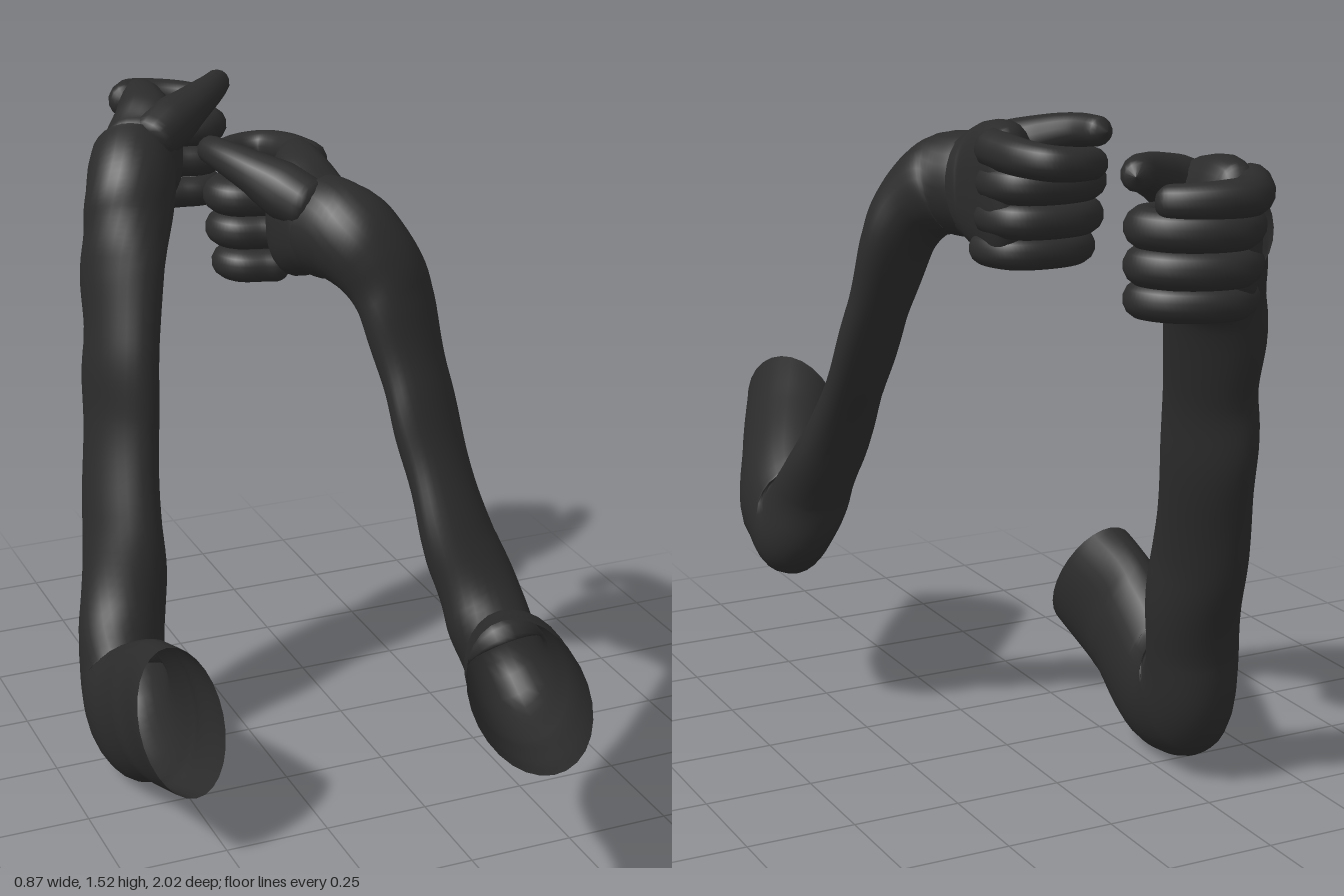
import * as THREE from 'three';

const V = (x, y, z) => new THREE.Vector3(x, y, z);
const black = new THREE.MeshStandardMaterial({ color: 0x2b2b2b, side: THREE.DoubleSide });
black.name = 'black cloth';

// Smooth sweep through rows [x, y, z, radiusUp, radiusSide, twist].
// refA/refB: side direction at start/end; cap: rounded end radius; wrinkle: fold depth;
// skew: slant of the first opening [across, up]; power: below 1 gives a boxier section.
function sweep(name, rows, { refA, refB = refA, cap = 0, wrinkle = 0, skew = [0, 0], power = 1, sides = 20, steps = 8 }) {
  const path = new THREE.CatmullRomCurve3(rows.map(r => V(r[0], r[1], r[2])));
  const section = new THREE.CatmullRomCurve3(rows.map(r => V(r[3], r[4], r[5] ?? 0)));
  const n = (rows.length - 1) * steps, pos = [], index = [];
  const first = path.getPoint(0), last = path.getPoint(1);
  const bend = v => Math.sign(v) * Math.abs(v) ** power;
  for (let i = 0; i <= n; i++) {
    const t = i / n, c = path.getPoint(t), T = path.getTangent(t), r = section.getPoint(t);
    const side = refA.clone().lerp(refB, t);
    side.addScaledVector(T, -side.dot(T)).normalize();
    const up = side.clone().cross(T);
    let k = 1;
    if (cap) {
      const d = Math.min(1, Math.min(c.distanceTo(first), c.distanceTo(last)) / cap);
      k = Math.sqrt(1 - (1 - d) ** 2);
    }
    const slant = Math.max(0, 1 - 6 * t), ct = Math.cos(r.z), st = Math.sin(r.z);
    for (let j = 0; j < sides; j++) {
      const a = j / sides * Math.PI * 2, ca = bend(Math.cos(a)), sa = bend(Math.sin(a));
      const fold = k * (1 + wrinkle * Math.sin(t * 46 + 1.5 * Math.sin(a + t * 5)) * Math.sin(t * Math.PI));
      const s = ca * r.y * fold, u = sa * r.x * fold;
      const p = c.clone()
        .addScaledVector(side, s * ct - u * st)
        .addScaledVector(up, s * st + u * ct)
        .addScaledVector(T, slant * (skew[1] * sa - skew[0] * ca));
      pos.push(p.x, p.y, p.z);
      if (i < n) {
        const b = i * sides + (j + 1) % sides, a0 = i * sides + j;
        index.push(a0, a0 + sides, b, b, a0 + sides, b + sides);
      }
    }
  }
  const g = new THREE.BufferGeometry();
  g.setAttribute('position', new THREE.Float32BufferAttribute(pos, 3));
  g.setIndex(index);
  g.computeVertexNormals();
  const mesh = new THREE.Mesh(g, black);
  mesh.name = name;
  return mesh;
}

// Hand built in (palmward, up, forward) coordinates around the wrist.
function hand(name, wrist, palmDir, forward, indexPath) {
  const group = new THREE.Group();
  group.name = name;
  const place = (p, u, f) => wrist.clone().addScaledVector(palmDir, p)
    .addScaledVector(forward, f).add(V(0, u, 0)).toArray();
  const row = ([p, u, f, ru, rs]) => [...place(p, u, f), ru, rs];

  // palm
  group.add(sweep('palm', [
    [0.01, 0, 0, 0.09, 0.08], [0.015, -0.003, 0.06, 0.108, 0.094], [0.025, 0, 0.13, 0.14, 0.09],
    [0.012, 0.002, 0.2, 0.15, 0.074], [-0.005, 0, 0.26, 0.145, 0.054], [-0.01, 0, 0.31, 0.13, 0.042],
  ].map(row), { refA: palmDir, cap: 0.05, power: 0.82, sides: 28 }));

  // fingers
  const digit = (label, pts) =>
    group.add(sweep(label, pts.map(row), { refA: V(0, 1, 0), cap: 0.034, sides: 14 }));
  const curl = [[-0.025, 0.2], [-0.022, 0.27], [0, 0.315], [0.06, 0.335], [0.13, 0.325],
    [0.17, 0.285], [0.155, 0.24], [0.1, 0.22], [0.05, 0.2]];
  [['middleFinger', 0.027, 0, 0.041], ['ringFinger', -0.048, -0.01, 0.04], ['littleFinger', -0.12, -0.04, 0.037]]
    .forEach(([label, u, df, r]) => digit(label, curl.map(([p, f]) => [p, u, f + df, r, r])));
  digit('indexFinger', indexPath.map(([p, f], i) => {
    const r = 0.044 - 0.002 * i;
    return [p, 0.1 - 0.004 * i, f, r, r];
  }));

  // thumb
  digit('thumb', [[0.03, 0.04, 0.03, 0.06, 0.055], [0.08, 0.07, 0.1, 0.064, 0.064],
    [0.135, 0.105, 0.17, 0.05, 0.048], [0.175, 0.125, 0.245, 0.037, 0.037], [0.193, 0.13, 0.33, 0.03, 0.03]]);
  return group;
}

export function createModel() {
  const model = new THREE.Group();

  // sleeves: open at the shoulder end, bent at the elbow, flattened along the forearm, ending in a cuff
  const leftArm = new THREE.Group();
  leftArm.name = 'leftArm';
  leftArm.add(sweep('leftSleeve', [
    [0.172, 0.63, 0.872, 0.163, 0.12, 0], [0.242, 0.565, 0.73, 0.163, 0.117, 0], [0.31, 0.50, 0.57, 0.15, 0.112, 0],
    [0.335, 0.475, 0.465, 0.13, 0.097, 0], [0.317, 0.58, 0.39, 0.085, 0.095, -0.3], [0.285, 0.72, 0.315, 0.063, 0.095, -0.6],
    [0.262, 0.9, 0.225, 0.056, 0.093, -0.65], [0.245, 1.06, 0.15, 0.058, 0.096, -0.6], [0.222, 1.22, 0.09, 0.07, 0.099, -0.45],
    [0.185, 1.31, 0.045, 0.096, 0.102, -0.2], [0.145, 1.35, -0.01, 0.114, 0.105, 0], [0.115, 1.357, -0.075, 0.116, 0.103, 0],
  ], { refA: V(0.92, 0.3, 0.27), refB: V(1, 0, 0), wrinkle: 0.035, skew: [0.095, 0.015], sides: 28 }));
  leftArm.add(hand('leftHand', V(0.125, 1.36, 0), V(-1, 0, 0), V(0, 0, -1),
    [[-0.025, 0.2], [-0.025, 0.28], [-0.015, 0.36], [0.015, 0.415], [0.07, 0.428], [0.14, 0.395]]));

  const rightArm = new THREE.Group();
  rightArm.name = 'rightArm';
  rightArm.add(sweep('rightSleeve', [
    [-0.33, 0.32, 0.185, 0.168, 0.1, 0], [-0.33, 0.255, 0, 0.168, 0.1, 0], [-0.325, 0.172, -0.165, 0.165, 0.105, 0],
    [-0.31, 0.19, -0.295, 0.148, 0.105, 0], [-0.285, 0.34, -0.355, 0.1, 0.105, 0.45], [-0.26, 0.54, -0.415, 0.072, 0.113, 0.85],
    [-0.235, 0.78, -0.49, 0.066, 0.115, 0.9], [-0.215, 0.96, -0.52, 0.068, 0.115, 0.85], [-0.19, 1.14, -0.575, 0.075, 0.113, 0.7],
    [-0.158, 1.24, -0.615, 0.098, 0.108, 0.4], [-0.13, 1.32, -0.668, 0.114, 0.107, 0.1], [-0.1, 1.35, -0.73, 0.118, 0.105, 0],
  ], { refA: V(1, 0, 0), refB: V(0.91, 0, 0.42), wrinkle: 0.035, skew: [0, 0.035], sides: 28 }));
  rightArm.add(hand('rightHand', V(-0.133, 1.362, -0.66), V(0.908, 0, 0.419), V(0.419, 0, -0.908),
    [[-0.03, 0.2], [-0.035, 0.26], [-0.025, 0.315], [0.03, 0.34], [0.1, 0.34], [0.155, 0.315]]));

  model.add(leftArm, rightArm);
  return model;
}
